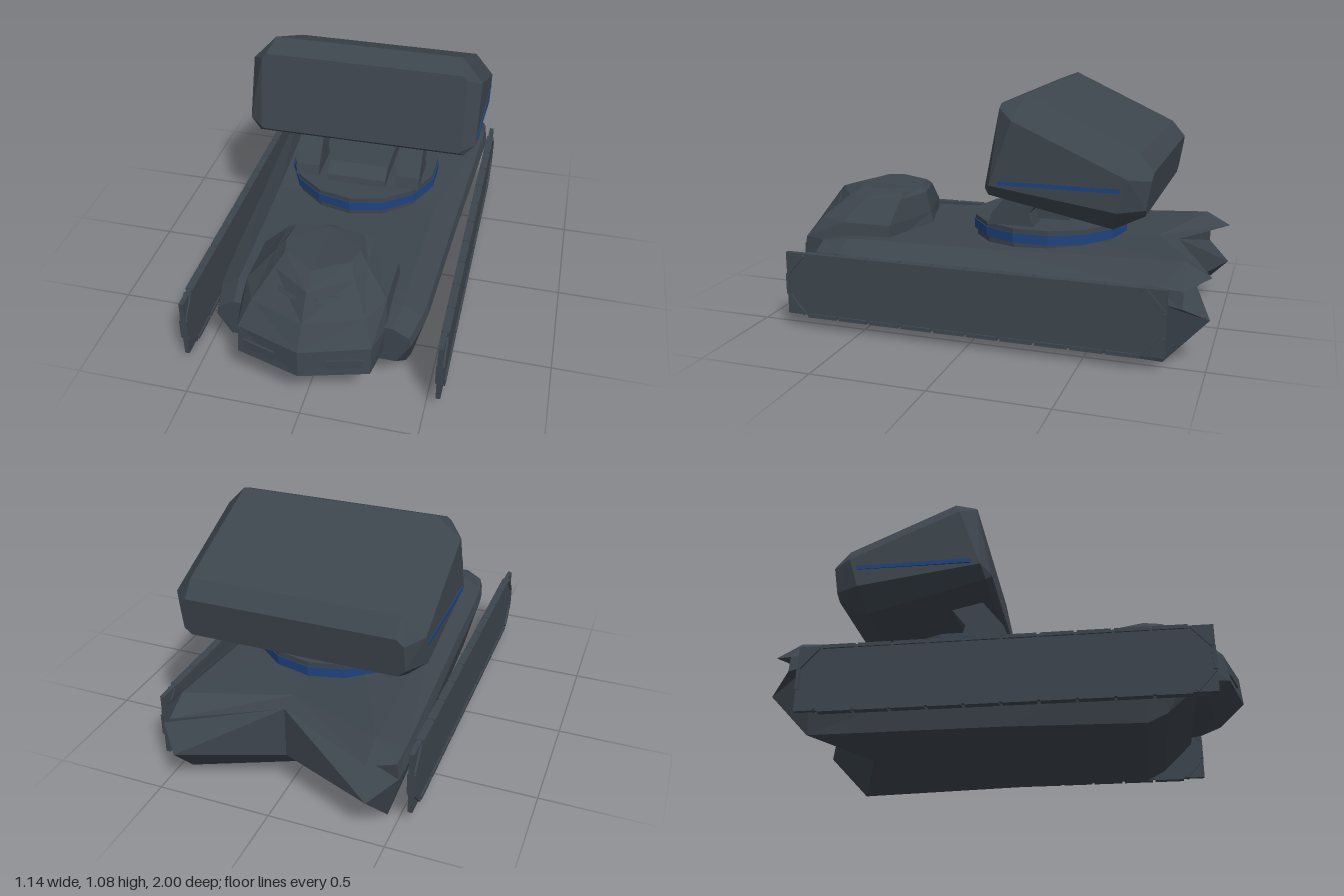
import * as THREE from 'three';

const slate = new THREE.MeshStandardMaterial({ color: 0x3d454d });
slate.name = 'slate armour';
const blue = new THREE.MeshStandardMaterial({ color: 0x1f427c });
blue.name = 'blue trim';

// Skins mirrored half rings; each half runs from x = 0 round the +x side back to x = 0.
function loft(halves) {
  const n = halves[0].length;
  const rings = halves.map(h => [...h, ...h.slice(1, -1).reverse().map(([x, y, z]) => [-x, y, z])]);
  const N = rings[0].length, last = rings.length - 1, pos = [];
  const tri = (a, b, c) => pos.push(...a, ...b, ...c);
  for (let r = 0; r < last; r++) {
    for (let k = 0; k < N; k++) {
      const j = (k + 1) % N, A = rings[r], B = rings[r + 1];
      // Mirror the quad diagonal on the left half
      if (k < n - 1) { tri(A[k], B[k], A[j]); tri(A[j], B[k], B[j]); }
      else { tri(A[k], B[k], B[j]); tri(A[k], B[j], A[j]); }
    }
  }
  for (let k = 0; k < N; k++) {
    const j = (k + 1) % N;
    if (k === n - 1 || j === n - 1) continue;
    tri(rings[0][n - 1], rings[0][k], rings[0][j]);
    tri(rings[last][n - 1], rings[last][j], rings[last][k]);
  }
  const g = new THREE.BufferGeometry();
  g.setAttribute('position', new THREE.Float32BufferAttribute(pos, 3));
  g.computeVertexNormals();
  return g;
}

// Extrudes a (z, y) side profile across x, centred on x
function sideExtrude(points, x, width) {
  const shape = new THREE.Shape(points.map(([z, y]) => new THREE.Vector2(-z, y)));
  const g = new THREE.ExtrudeGeometry(shape, { depth: width, bevelEnabled: false });
  return g.translate(0, 0, -width / 2).rotateY(Math.PI / 2).translate(x, 0, 0);
}

export function createModel() {
  const model = new THREE.Group();
  const add = (name, geometry, material = slate, parent = model) => {
    const mesh = new THREE.Mesh(geometry, material);
    mesh.name = name;
    parent.add(mesh);
    return mesh;
  };
  const at = (z, pts) => pts.map(([x, y, pz = z]) => [x, y, pz]);

  // Hull, nose to notched tail
  add('hull', loft([
    at(0.78, [[0, 0.17], [0.36, 0.17], [0.42, 0.27], [0.41, 0.31], [0.34, 0.35], [0, 0.35]]),
    at(0.65, [[0, 0.06], [0.38, 0.05], [0.45, 0.28], [0.44, 0.32], [0.36, 0.37], [0, 0.37]]),
    at(0.57, [[0, 0.03], [0.39, 0.01], [0.46, 0.28], [0.45, 0.32], [0.36, 0.375], [0, 0.375]]),
    at(0, [[0, 0.03], [0.42, 0.01], [0.485, 0.28], [0.475, 0.33], [0.38, 0.39], [0, 0.39]]),
    at(-0.8, [[0, 0.03, -0.66], [0.45, 0, -0.82], [0.53, 0.28], [0.515, 0.34],
      [0.42, 0.43, -0.89], [0, 0.41, -0.72]]),
    at(-0.9, [[0, 0.17, -0.81], [0.42, 0.19, -1], [0.52, 0.26], [0.51, 0.33],
      [0.42, 0.37, -1], [0, 0.4, -0.81]]),
  ]));

  // Faceted cab, roof down to chin
  const level = (y, pts) => pts.map(([x, z, py = y]) => [x, py, z]);
  add('cab', loft([
    level(0.57, [[0, 0.74, 0.56], [0.14, 0.66], [0.16, 0.58], [0.15, 0.46, 0.555], [0, 0.43, 0.55]]),
    level(0.53, [[0, 0.84], [0.17, 0.72], [0.2, 0.62], [0.19, 0.45], [0, 0.4]]),
    level(0.43, [[0, 0.92], [0.24, 0.83], [0.3, 0.7], [0.3, 0.46], [0, 0.38]]),
    level(0.34, [[0, 0.99], [0.28, 0.9], [0.315, 0.76], [0.315, 0.46], [0, 0.36]]),
    level(0.22, [[0, 1], [0.28, 0.92], [0.3, 0.8], [0.3, 0.46], [0, 0.36]]),
    level(0.17, [[0, 0.87], [0.25, 0.82], [0.28, 0.72], [0.28, 0.46], [0, 0.37]]),
  ]));

  for (const s of [-1, 1]) {
    // Raised headlight frames and brow slits
    const lamp = add('headlight', new THREE.BoxGeometry(0.15, 0.04, 0.009));
    lamp.position.set(s * 0.18, 0.275, 0.945);
    lamp.rotation.set(-0.06, s * 0.29, 0, 'YXZ');
    const slit = add('viewSlit', new THREE.BoxGeometry(0.1, 0.02, 0.009));
    slit.position.set(s * 0.085, 0.49, 0.822);
    slit.rotation.set(-0.7, s * 0.45, 0, 'YXZ');

    // Track: side plate edged with separate links
    const track = new THREE.Group();
    track.name = s > 0 ? 'leftTrack' : 'rightTrack';
    model.add(track);
    const plate = add('trackPlate', new THREE.BoxGeometry(0.02, 0.285, 1.69), slate, track);
    plate.position.set(s * 0.552, 0.205, 0);
    const link = (z0, y0, z1, y1) => {
      const len = Math.hypot(z1 - z0, y1 - y0);
      const m = add('trackLink', new THREE.BoxGeometry(0.034, 0.016, len), slate, track);
      m.position.set(s * 0.553, (y0 + y1) / 2, (z0 + z1) / 2);
      m.rotation.x = -Math.atan2(y1 - y0, z1 - z0);
    };
    for (let i = 0; i < 10; i++) {
      const z = -0.75 + i * 0.15;
      for (const y of [0.062, 0.342]) link(z + 0.006, y, z + 0.144, y);
    }
    for (const e of [-1, 1]) {
      link(e * 0.76, 0.065, e * 0.835, 0.15);
      link(e * 0.835, 0.255, e * 0.76, 0.34);
      link(e * 0.838, 0.155, e * 0.838, 0.25);
    }

    // Launcher arm
    add('supportArm', sideExtrude([[-0.01, 0.48], [-0.03, 0.53], [-0.14, 0.67], [-0.3, 0.67],
      [-0.2, 0.54], [-0.22, 0.48]], s * 0.24, 0.11));
  }

  // Turntable
  const disc = (name, r, y0, y1, mat) => {
    const g = new THREE.CylinderGeometry(r, r, y1 - y0, 14).toNonIndexed();
    g.computeVertexNormals();
    add(name, g, mat).position.set(0, (y0 + y1) / 2, -0.22);
  };
  disc('turntableBase', 0.34, 0.38, 0.42, slate);
  disc('turntableBand', 0.355, 0.42, 0.462, blue);
  disc('turntableTop', 0.35, 0.462, 0.482, slate);
  add('mountBlock', sideExtrude([[0.01, 0.48], [0, 0.51], [-0.06, 0.55], [-0.33, 0.55],
    [-0.34, 0.48]], 0, 0.28));

  // Launcher pod: chamfered sections tilted between a bottom and a top point
  const section = ([zb, yb], [zt, yt], w, cb, ct) => {
    const p = (x, y) => [x, y, zb + (zt - zb) * (y - yb) / (yt - yb)];
    return [p(0, yb), p(w - cb, yb), p(w, yb + cb), p(w, yt - ct), p(w - ct, yt), p(0, yt)];
  };
  add('launcherPod', loft([
    section([-0.06, 0.68], [-0.13, 1.04], 0.475, 0.01, 0.02),
    section([-0.08, 0.66], [-0.23, 1.08], 0.535, 0.05, 0.1),
    section([-0.6, 0.545], [-0.7, 0.86], 0.54, 0.09, 0.09),
    section([-0.73, 0.61], [-0.76, 0.79], 0.48, 0.03, 0.03),
  ]));
  add('podFrontPanel', sideExtrude([[-0.058, 0.69], [-0.126, 1.03], [-0.135, 1.03], [-0.067, 0.69]], 0, 0.92));
  for (const s of [-1, 1]) {
    add('podStripe', new THREE.BoxGeometry(0.009, 0.018, 0.5), blue)
      .position.set(s * 0.538, 0.725, -0.39);
  }
  return model;
}
